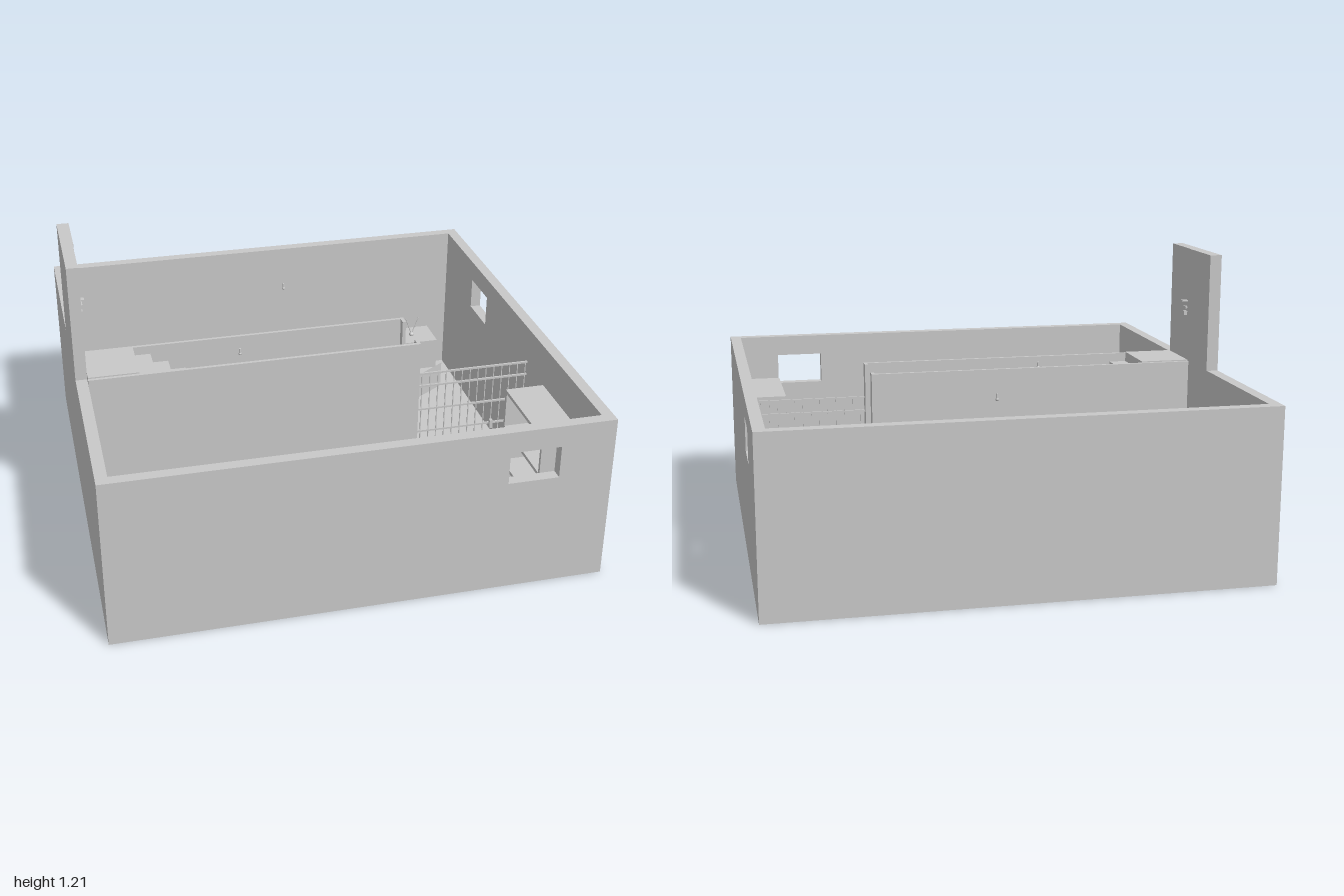
import * as THREE from 'three';
import { RoundedBoxGeometry } from 'three/addons/geometries/RoundedBoxGeometry.js';

const grey = new THREE.MeshStandardMaterial({ color: 0xc8c8c8, side: THREE.DoubleSide });
grey.name = 'plain grey';

const X = 1, Z = 0.977, T = 0.047, TOP = 0.717, LANDING = 0.722;
const FLOOR = 0.001; // parts stand just above the floor sheet

function add(parent, name, geometry, x = 0, y = 0, z = 0) {
  const mesh = new THREE.Mesh(geometry, grey);
  mesh.name = name;
  mesh.position.set(x, y, z);
  parent.add(mesh);
  return mesh;
}

// Box given by its limits on each axis
function box(parent, name, x0, x1, y0, y1, z0, z1, radius = 0) {
  const s = [x1 - x0, y1 - y0, z1 - z0];
  const g = radius ? new RoundedBoxGeometry(...s, 3, radius) : new THREE.BoxGeometry(...s);
  return add(parent, name, g, (x0 + x1) / 2, (y0 + y1) / 2, (z0 + z1) / 2);
}

function group(parent, name, x = 0, y = 0, z = 0, turn = 0) {
  const g = new THREE.Group();
  g.name = name;
  g.position.set(x, y, z);
  g.rotation.y = turn;
  parent.add(g);
  return g;
}

const rect = (a, b, c, d) => [[a, c], [b, c], [b, d], [a, d]];
const vectors = pts => pts.map(p => new THREE.Vector2(...p));

function outline(points, holes = []) {
  const shape = new THREE.Shape(vectors(points));
  shape.holes = holes.map(h => new THREE.Path(vectors(h)));
  return shape;
}

const extrude = (points, depth) =>
  new THREE.ExtrudeGeometry(outline(points), { depth, bevelEnabled: false });
const sheet = (points, ...holes) => new THREE.ShapeGeometry(outline(points, holes));
// Level sheet whose points are (x, z)
const level = (points, ...holes) => sheet(points, ...holes).rotateX(Math.PI / 2);

// Closed ribbon that runs along an outline in x and y, open at both ends
function band(points, depth) {
  const pos = [];
  points.forEach(([ax, ay], i) => {
    const [bx, by] = points[(i + 1) % points.length];
    pos.push(ax, ay, 0, bx, by, 0, bx, by, depth, ax, ay, 0, bx, by, depth, ax, ay, depth);
  });
  const g = new THREE.BufferGeometry();
  g.setAttribute('position', new THREE.Float32BufferAttribute(pos, 3));
  g.computeVertexNormals();
  return g;
}

// Partition outlines in (x, z), each with a return at the foot of the stairs
const partition = (outer, inner, post) => [[-0.95, outer], [0.455, outer], [0.455, post],
  [0.44, post], [0.44, inner], [-0.95, inner]];
const partitions = [partition(-0.067, -0.053, -0.022), partition(0.196, 0.181, 0.148)];

// Hollow wall of two sheets, open underneath, with an optional window
function wall(parent, name, half, turn, distance, window) {
  const g = group(parent, name, 0, 0, 0, turn);
  const holes = window ? [window] : [];
  add(g, 'outerFace', sheet(rect(-half, half, 0, TOP), ...holes), 0, 0, distance);
  add(g, 'innerFace', sheet(rect(-half + T, half - T, 0, TOP), ...holes), 0, 0, distance - T);
  if (window) add(g, 'windowReveal', band(window, T), 0, 0, distance - T);
}

function buildShell(root) {
  const shell = group(root, 'roomShell');
  const inside = rect(-X + T, X - T, -Z + T, Z - T);
  add(shell, 'floor', level(inside, ...partitions));
  add(shell, 'wallTop', level(rect(-X, X, -Z, Z), inside), 0, TOP, 0);
  wall(shell, 'frontWall', X, 0, Z, rect(0.57, 0.778, 0.488, 0.626));
  wall(shell, 'leftWall', Z, Math.PI / 2, X, rect(0.35, 0.555, 0.488, 0.628));
  wall(shell, 'backWall', X, Math.PI, Z);
  wall(shell, 'rightWall', Z, -Math.PI / 2, X);
  // Raised entry above the stairs
  box(shell, 'entryWall', -X, -0.95, TOP, 1.21, -0.285, -0.052);
  box(shell, 'entryDoor', -X, -0.953, TOP, 1.21, -0.052, 0.182);
  box(shell, 'doorLatch', -0.953, -0.938, 0.916, 0.934, -0.025, 0);
  box(shell, 'doorHandle', -0.943, -0.936, 0.95, 0.958, -0.05, -0.01);
  box(shell, 'handleStem', -0.953, -0.936, 0.95, 0.958, -0.02, -0.012);
  box(shell, 'doorBolt', -0.953, -0.928, 0.977, 0.983, -0.03, -0.005);
}

function buildStairs(root) {
  const stairs = group(root, 'stairwell');
  // Solid flight of sixteen treads and a landing
  const n = 16, run = 1.18 / n, rise = LANDING / (n + 1);
  const pts = [[-0.95, FLOOR], [-0.95, LANDING], [-0.74, LANDING]];
  for (let i = 1; i <= n; i++) {
    const y = LANDING - i * rise;
    pts.push([-0.74 + (i - 1) * run, y], [-0.74 + i * run, y]);
  }
  pts.push([0.44, FLOOR]);
  add(stairs, 'stairFlight', extrude(pts, 0.234), 0, 0, -0.053);
  // Hollow partition walls with a cap
  for (const p of partitions) {
    add(stairs, 'partition', band(p, -TOP).rotateX(Math.PI / 2));
    add(stairs, 'partitionCap', level(p), 0, TOP, 0);
  }
  // Barred fence
  const fence = group(root, 'barredFence');
  for (let i = 0; i <= 13; i++) {
    const x = 0.471 + i * 0.0362;
    box(fence, 'fenceBar', x - 0.002, x + 0.002, FLOOR, 0.565, 0.182, 0.186);
  }
  for (const y of [0.565, 0.505, 0.39, 0.28, 0.17, 0.06])
    box(fence, 'fenceRail', 0.455, 0.95, y - 0.004, y + 0.004, 0.18, 0.188);
  box(fence, 'fenceLatch', 0.788, 0.802, 0.26, 0.3, 0.187, 0.202);
}

function buildSofa(root) {
  const sofa = group(root, 'sofa');
  box(sofa, 'sofaBase', -0.255, 0.182, FLOOR, 0.08, 0.668, 0.9);
  box(sofa, 'sofaArm', -0.31, -0.255, FLOOR, 0.15, 0.662, 0.89);
  box(sofa, 'sofaArm', 0.182, 0.237, FLOOR, 0.15, 0.662, 0.89);
  box(sofa, 'sofaBack', -0.31, 0.237, FLOOR, 0.21, 0.885, 0.93, 0.02);
  for (const x of [-0.253, -0.034]) {
    box(sofa, 'seatCushion', x, x + 0.214, 0.07, 0.115, 0.662, 0.885, 0.008);
    box(sofa, 'backCushion', x, x + 0.214, 0.11, 0.22, 0.787, 0.892, 0.03);
  }
}

function buildArmchair(root) {
  const chair = group(root, 'armchair', -0.022, 0, -0.331, Math.PI / 6);
  box(chair, 'chairSeat', -0.1, 0.139, FLOOR, 0.1, -0.108, 0.108);
  // Frame of two arms and a rear panel at one height
  for (const s of [-1, 1])
    box(chair, 'chairArm', -0.139, 0.139, FLOOR, 0.15, s * 0.134 - 0.026, s * 0.134 + 0.026);
  box(chair, 'chairFrame', -0.139, -0.1, FLOOR, 0.15, -0.108, 0.108);
  // Sloping back cushion
  add(chair, 'chairBack', extrude([[-0.1, 0.05], [-0.01, 0.05], [-0.01, 0.1],
    [-0.045, 0.21], [-0.1, 0.21]], 0.216), 0, 0, -0.108);
}

function buildFurniture(root) {
  buildSofa(root);
  buildArmchair(root);

  // Barrel with a sunken lid
  const barrel = group(root, 'barrel', -0.548, 0, 0.348);
  const profile = [[0, 0.205], [0.076, 0.205], [0.076, 0.215], [0.085, 0.215], [0.085, FLOOR]];
  for (let i = 1; i < profile.length; i++)
    add(barrel, 'barrelSurface', new THREE.LatheGeometry(vectors(profile.slice(i - 1, i + 1)), 32));

  // Open shelf unit against the side wall
  const shelf = group(root, 'shelfUnit');
  box(shelf, 'shelfBack', 0.938, 0.953, FLOOR, 0.53, 0.364, 0.778);
  for (const z of [0.364, 0.763]) box(shelf, 'shelfSide', 0.785, 0.953, FLOOR, 0.53, z, z + 0.015);
  for (const y of [0.02, 0.19, 0.36, 0.53])
    box(shelf, 'shelfBoard', 0.785, 0.953, y, y + 0.015, 0.364, 0.778);

  // Television with aerial on a turned stand
  const stand = group(root, 'televisionStand', 0.712, 0, -0.722, 0.58);
  box(stand, 'standBody', -0.095, 0.095, FLOOR, 0.13, -0.123, 0.123);
  const tv = group(root, 'television', 0.71, 0, -0.717);
  box(tv, 'televisionBody', -0.107, 0.107, 0.13, 0.28, -0.083, 0.08);
  add(tv, 'aerialBase', new THREE.SphereGeometry(0.012, 16, 10), 0, 0.285, 0);
  for (const s of [-1, 1]) {
    const rod = add(tv, 'aerialRod', new THREE.CylinderGeometry(0.002, 0.002, 0.09, 8), s * 0.016, 0.33, 0);
    rod.rotation.z = -s * 0.35;
  }

  // Low chest in the corner
  box(root, 'chest', -0.905, -0.552, FLOOR, 0.2, -0.913, -0.723);
  // Wall box
  box(root, 'wallBox', -0.953, -0.9, 0.3, 0.435, -0.607, -0.5);
  // Small cabinet with knobs and a top handle
  const cabinet = group(root, 'cabinet');
  box(cabinet, 'cabinetBody', -0.953, -0.852, FLOOR, 0.26, -0.302, -0.097);
  for (const z of [-0.262, -0.152]) box(cabinet, 'cabinetKnob', -0.852, -0.842, 0.17, 0.18, z - 0.005, z + 0.005);
  box(cabinet, 'topHandle', -0.896, -0.89, 0.26, 0.27, -0.232, -0.177);
}

// Hanging bulbs and a floor stud
function buildLamps(root) {
  for (const [x, z] of [[0.02, -0.536], [-0.3, 0.059]]) {
    const lamp = group(root, 'hangingBulb', x, 0, z);
    add(lamp, 'bulb', new THREE.SphereGeometry(0.007, 12, 8), 0, 0.693, 0);
    add(lamp, 'bulbCap', new THREE.CylinderGeometry(0.004, 0.005, 0.02, 10), 0, 0.707, 0);
  }
  add(root, 'floorStud', new THREE.CylinderGeometry(0.007, 0.007, 0.02, 12), 0.11, 0.011, 0.55);
}

export function createModel() {
  const root = new THREE.Group();
  root.name = 'basementRoom';
  buildShell(root);
  buildStairs(root);
  buildFurniture(root);
  buildLamps(root);
  return root;
}
